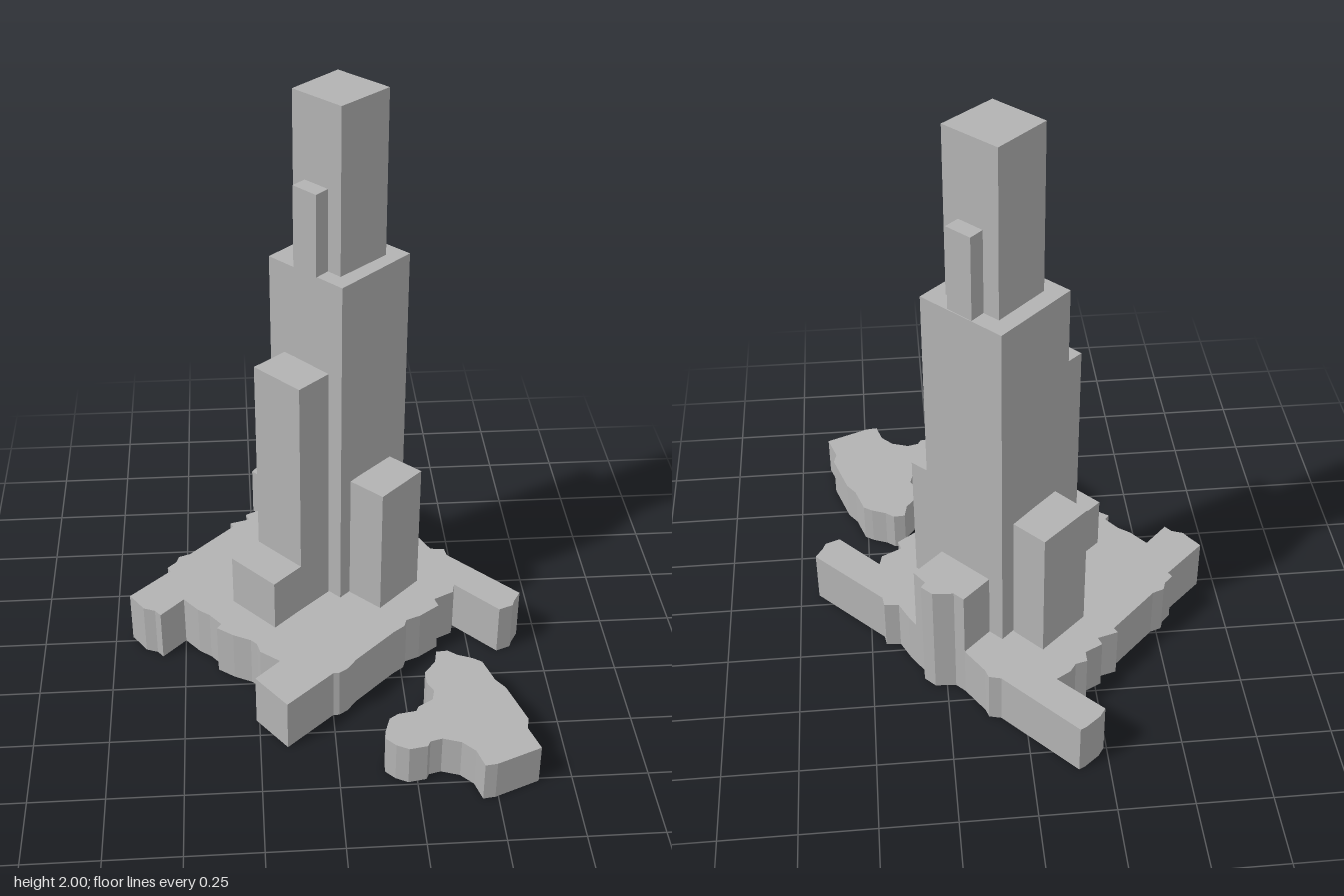
import * as THREE from 'three';

const stone = new THREE.MeshStandardMaterial({ color: 0xb3b3b3 });
stone.name = 'grey stone';

// Ground outlines as x, z pairs in hundredths of a unit
const podiumPlan = [
  -15, -83, 8, -59, 12, -58, 13, -55, 19, -46, 22, -43, 29, -42.5, 32.5, -39,
  31, -37, 34.5, -32, 37, -28, 40, -22, 45, -21.5, 45.5, -18, 68.5, 5, 66, 9,
  65, 11.5, 60, 13.5, 46, -1, 45, 3, 38, 6.5, 39, 10, 32, 15, 27, 17,
  26, 20, 22, 23, 8, 36, 5, 40, 2, 42, 0, 42, -16, 56, -26, 43,
  -17.5, 35, -24, 30, -25, 26, -27, 24, -33, 21, -38.5, 17, -37, 15, -41, 10,
  -45, 7, -50, 1, -58, 9, -60, 6.5, -64, 5, -66, 2, -69, -2, -55, -15,
  -56, -17, -53, -20, -52, -23, -48, -24.5, -32, -40, -33, -42, -26, -44, -27, -47,
  -21, -50, -21, -54, -17, -55, -15, -58, -10, -61, -24, -75, -22, -78, -17, -82,
];

const annexPlan = [
  36, 29, 40, 28.7, 43, 31, 48, 33, 51, 35, 54, 44, 57, 48, 61, 60,
  62, 63, 61, 67, 64, 76, 49, 82, 45, 82.5, 43, 76, 39, 72, 36, 71,
  33, 70, 29, 71, 28, 73, 22, 74, 18, 72, 15, 69, 15, 66, 17, 60,
  20, 58, 26, 57, 27, 55, 32, 52, 33, 48, 31, 44, 31, 39, 35, 34,
];

// Vertical prism over a ground outline
function prism(name, plan, bottom, top) {
  const points = [];
  for (let i = 0; i < plan.length; i += 2) {
    points.push(new THREE.Vector2(plan[i] / 100, -plan[i + 1] / 100));
  }
  const geometry = new THREE.ExtrudeGeometry(new THREE.Shape(points), {
    depth: top - bottom,
    bevelEnabled: false,
  });
  geometry.rotateX(-Math.PI / 2);
  geometry.translate(0, bottom, 0);
  const mesh = new THREE.Mesh(geometry, stone);
  mesh.name = name;
  return mesh;
}

export function createModel() {
  const model = new THREE.Group();
  model.name = 'stepped tower';
  const base = 0.19;

  // Ground level buildings
  model.add(prism('podium', podiumPlan, 0, base));
  model.add(prism('annex', annexPlan, 0, 0.147));

  // Main shaft and crown
  model.add(prism('mainShaft', [6, -41.5, 28.5, -18.5, 5, 3.5, -17, -19.5], base, 1.43));
  model.add(prism('crown', [6, -33.5, 20.7, -18, 5, -4, -9, -19], 1.43, 2));
  model.add(prism('crownShoulderRight', [10, -29, 14, -33, 20.7, -26, 16.5, -22], 1.43, 1.715));
  model.add(prism('crownShoulderLeft', [1.3, -8, -2.7, -4, -9.5, -11.5, -5.5, -15.3], 1.43, 1.715));

  // Lower wings around the shaft
  model.add(prism('tallWing', [-12.5, -15, 1, 0, -9, 9, -23, -6], base, 1.097));
  model.add(prism('lowWing', [-22.5, -6, -9, 9, -18.5, 18, -32.5, 3], base, 0.38));
  model.add(prism('frontWing', [18.5, 10, 8.5, 0.5, 22.5, -14, 33, -4], base, 0.67));
  model.add(prism('backWing', [-7, -47.5, 2, -38, -13, -23, -22.5, -33.5], base, 0.67));

  // Entrance block with a notched outer face
  model.add(prism('entranceBlock', [
    19, -46, 22, -43, 29, -42.5, 32.5, -39, 31, -37, 34.5, -32, 24, -22, 9.5, -37,
  ], base, 0.43));

  return model;
}
